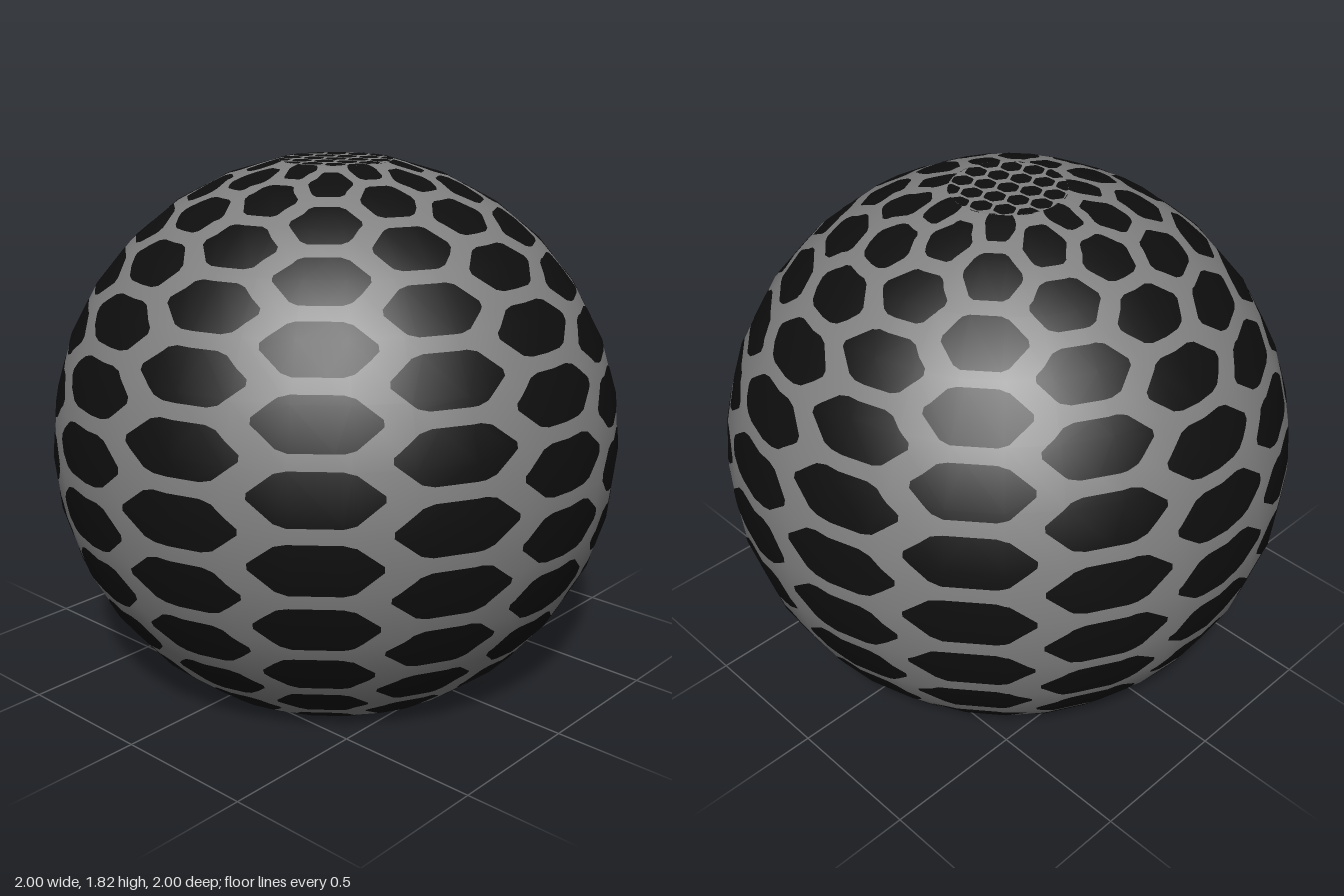
import * as THREE from 'three';

const STEP = 11.25;            // facet size in degrees
const TOP = 78.75, BOTTOM = -56.25;
const COLUMN = 360 / 14, ROW = 180 / 14;
const RAD = Math.PI / 180;

// Point on the unit ball, longitude measured from the front (+z) towards +x
const onBall = (lon, lat) => new THREE.Vector3(
  Math.sin(lon * RAD) * Math.cos(lat * RAD), Math.sin(lat * RAD), Math.cos(lon * RAD) * Math.cos(lat * RAD));

// Flat-topped hexagon with trimmed corners, anticlockwise
function hexagon(cx, cy, halfWidth, halfHeight, trim = 0.12) {
  const corners = [[1, 0], [0.5, 1], [-0.5, 1], [-1, 0], [-0.5, -1], [0.5, -1]];
  const out = [];
  corners.forEach(([x, y], i) => {
    for (const n of [corners[(i + 5) % 6], corners[(i + 1) % 6]]) {
      out.push([cx + halfWidth * (x + (n[0] - x) * trim), cy + halfHeight * (y + (n[1] - y) * trim)]);
    }
  });
  return out;
}

// Clip a convex polygon to an anticlockwise convex window
function clip(poly, win) {
  for (let i = 0; i < win.length && poly.length; i++) {
    const [ax, ay] = win[i], [bx, by] = win[(i + 1) % win.length];
    const side = p => (bx - ax) * (p[1] - ay) - (by - ay) * (p[0] - ax);
    const out = [];
    poly.forEach((p, j) => {
      const q = poly[(j + 1) % poly.length], sp = side(p), sq = side(q);
      if (sp >= 0) out.push(p);
      if (sp * sq < 0) {
        const t = sp / (sp - sq);
        out.push([p[0] + (q[0] - p[0]) * t, p[1] + (q[1] - p[1]) * t]);
      }
    });
    poly = out;
  }
  return poly;
}

function fan(points, positions) {
  for (let i = 1; i < points.length - 1; i++) {
    for (const p of [points[0], points[i], points[i + 1]]) positions.push(p.x, p.y, p.z);
  }
}

// Hexagonal patches that follow the ball's facets
function ballPatches(scale) {
  const cells = [];
  for (let k = -7; k < 7; k++) {
    for (let r = -6; r <= 7; r++) {
      cells.push([(k + 0.5) * COLUMN, (r + (k % 2 ? -0.5 : 0)) * ROW]);
    }
  }
  const positions = [], normals = [];
  for (let lon = -180; lon < 180; lon += STEP) {
    for (let lat = BOTTOM; lat < TOP; lat += STEP) {
      const a = [lon + STEP, lat + STEP], b = [lon, lat + STEP], c = [lon, lat], d = [lon + STEP, lat];
      for (const [cx, cy] of cells) {
        if (Math.abs(cx - lon - STEP / 2) > 20 || Math.abs(cy - lat - STEP / 2) > 12) continue;
        const hex = hexagon(cx, cy, 12.9, 4.95);
        // [triangle, corner, corner along longitude, corner along latitude]
        for (const [tri, o, u, v] of [[[a, b, d], a, b, d], [[b, c, d], c, d, b]]) {
          const part = clip(hex, tri);
          if (part.length < 3) continue;
          const O = onBall(...o), U = onBall(...u).sub(O), V = onBall(...v).sub(O);
          const pts = part.map(([x, y]) => O.clone()
            .addScaledVector(U, (x - o[0]) / (u[0] - o[0]))
            .addScaledVector(V, (y - o[1]) / (v[1] - o[1])).multiplyScalar(scale));
          fan(pts, positions);
          fan(pts.map(p => p.clone().normalize()), normals);
        }
      }
    }
  }
  return bufferGeometry(positions, normals);
}

// Small slanted lattice of hexagons on the flat top
function capPatches(radius, y) {
  const rim = [];
  for (let i = 0; i < 32; i++) rim.push([radius * Math.cos(i * STEP * RAD), radius * Math.sin(i * STEP * RAD)]);
  const positions = [];
  for (let i = -5; i <= 5; i++) {
    for (let j = -5; j <= 5; j++) {
      const part = clip(hexagon(0.07 * i + 0.016 * j, 0.035 * i - 0.075 * j, 0.039, 0.033), rim);
      if (part.length > 2) fan(part.map(([px, py]) => new THREE.Vector3(px, y, -py)), positions);
    }
  }
  return bufferGeometry(positions);
}

function bufferGeometry(positions, normals) {
  const g = new THREE.BufferGeometry();
  g.setAttribute('position', new THREE.Float32BufferAttribute(positions, 3));
  if (normals) g.setAttribute('normal', new THREE.Float32BufferAttribute(normals, 3));
  else g.computeVertexNormals();
  return g;
}

export function createModel() {
  const group = new THREE.Group();
  group.name = 'hexPatternGlobe';
  const grey = new THREE.MeshStandardMaterial({ color: 0x808080, side: THREE.DoubleSide });
  grey.name = 'grey lattice';
  const black = new THREE.MeshStandardMaterial({ color: 0x0e0e0e, side: THREE.DoubleSide });
  black.name = 'black hexagons';

  const add = (name, geometry, material) => {
    const mesh = new THREE.Mesh(geometry, material);
    mesh.name = name;
    mesh.position.y = -Math.sin(BOTTOM * RAD);
    group.add(mesh);
    return mesh;
  };

  // Shell, open underneath
  add('shell', new THREE.SphereGeometry(1, 32, 12, 0, Math.PI * 2, (90 - TOP) * RAD, (TOP - BOTTOM) * RAD), grey);
  add('outerHexagons', ballPatches(1.002), black);
  add('innerHexagons', ballPatches(0.998), black);

  // Flat top
  const capRadius = Math.cos(TOP * RAD), capHeight = Math.sin(TOP * RAD);
  const cap = new THREE.CircleGeometry(capRadius, 32).rotateX(-Math.PI / 2).translate(0, capHeight, 0);
  add('topCap', cap, grey);
  add('topCapHexagons', capPatches(capRadius, capHeight + 0.002), black);

  return group;
}
